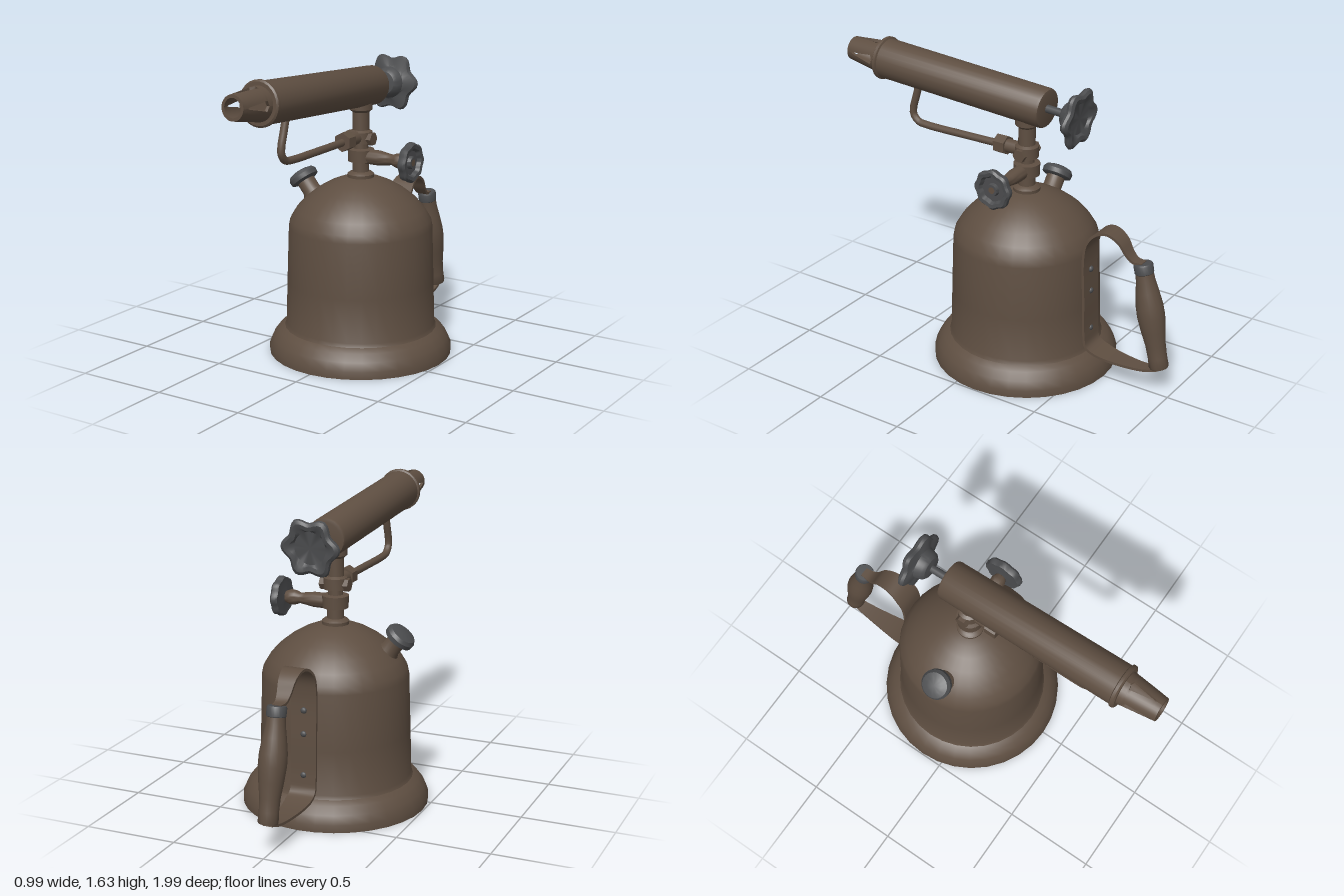
import * as THREE from 'three';
import { toCreasedNormals } from 'three/addons/utils/BufferGeometryUtils.js';

const brass = new THREE.MeshStandardMaterial({ color: 0x5e4e41 });
brass.name = 'aged brass';
const iron = new THREE.MeshStandardMaterial({ color: 0x4b4c4e });
iron.name = 'grey iron';

const TANK_Z = -0.12;

function add(parent, name, geometry, material, x = 0, y = 0, z = 0) {
  const mesh = new THREE.Mesh(geometry, material);
  mesh.name = name;
  mesh.position.set(x, y, z);
  parent.add(mesh);
  return mesh;
}

// Turned part from [radius, height] pairs, listed bottom to top
function turned(points, segments = 24) {
  const g = new THREE.LatheGeometry(points.map(p => new THREE.Vector2(...p)), segments);
  return toCreasedNormals(g, 0.6);
}

// Turned part whose outer rim swells into lobes
function handwheel(points, lobes, amount, rimStart) {
  const g = new THREE.LatheGeometry(points.map(p => new THREE.Vector2(...p)), lobes * 8);
  const pos = g.attributes.position;
  for (let i = 0; i < pos.count; i++) {
    const x = pos.getX(i), z = pos.getZ(i), r = Math.hypot(x, z);
    if (r < rimStart) continue;
    const k = 1 + amount * Math.cos(lobes * Math.atan2(z, x));
    pos.setXYZ(i, x * k, pos.getY(i), z * k);
  }
  return toCreasedNormals(g, 0.6);
}

// Quarter of the slotted nozzle: a box bent round the z axis
function nozzleProng(angle, start, length) {
  const g = new THREE.BoxGeometry(1, 1, 1, 8, 1, 20);
  const pos = g.attributes.position;
  for (let i = 0; i < pos.count; i++) {
    const t = pos.getZ(i) + 0.5;
    const slot = t < 0.18 || t > 0.82 ? 0 : 0.4 * (1 - t);
    const a = angle + pos.getX(i) * 2 * (Math.PI / 4 - slot);
    const r = 0.09 - 0.026 * t + (pos.getY(i) - 0.5) * 0.016;
    pos.setXYZ(i, Math.sin(a) * r, Math.cos(a) * r, start + t * length);
  }
  g.computeVertexNormals();
  return g;
}

// Flat strap swept along a curve in the x = 0 plane, narrow at both ends
function strap(curve, thickness) {
  const g = new THREE.BoxGeometry(1, 1, 1, 1, 1, 72);
  const pos = g.attributes.position;
  const across = new THREE.Vector3(1, 0, 0);
  for (let i = 0; i < pos.count; i++) {
    const t = THREE.MathUtils.clamp(pos.getZ(i) + 0.5, 0, 1);
    const edge = Math.min(1, Math.min(t, 1 - t) / 0.25);
    const p = curve.getPointAt(t);
    p.addScaledVector(curve.getTangentAt(t).cross(across), pos.getY(i) * thickness);
    pos.setXYZ(i, pos.getX(i) * (0.05 + 0.09 * edge), p.y, p.z);
  }
  g.computeVertexNormals();
  return g;
}

function buildTank(model) {
  add(model, 'tank', turned([
    [0, 0], [0.495, 0], [0.495, 0.04], [0.475, 0.085], [0.445, 0.125], [0.412, 0.145],
    [0.403, 0.165], [0.396, 0.4], [0.386, 0.70], [0.378, 0.74], [0.345, 0.795], [0.295, 0.85],
    [0.235, 0.897], [0.17, 0.935], [0.11, 0.96], [0.05, 0.972], [0, 0.973],
  ], 32), brass, 0, 0, TANK_Z);

  // Filler spout and cap lean out to one side
  const filler = new THREE.Group();
  filler.name = 'filler';
  filler.position.set(-0.25, 0.80, -0.09);
  filler.rotation.z = 0.67;
  add(filler, 'fillerNeck', turned([[0.068, 0], [0.062, 0.05], [0.05, 0.075], [0.05, 0.14]]), brass);
  add(filler, 'fillerCap', turned([
    [0, 0.135], [0.06, 0.135], [0.08, 0.145], [0.082, 0.17], [0.07, 0.188], [0.04, 0.197], [0, 0.2],
  ]), iron);
  model.add(filler);
}

function buildValve(model) {
  add(model, 'neck', turned([
    [0.07, 0.955], [0.072, 0.985], [0.06, 0.995], [0.045, 1.0], [0.045, 1.05], [0.068, 1.055],
    [0.07, 1.12], [0.04, 1.125], [0.04, 1.15], [0.062, 1.155], [0.062, 1.215], [0.045, 1.225],
    [0.045, 1.32], [0.062, 1.335], [0.062, 1.38], [0, 1.38],
  ]), brass, 0, 0, TANK_Z);

  // Cross fitting with hexagonal ends
  const cross = new THREE.CylinderGeometry(0.03, 0.03, 0.14, 16).rotateZ(Math.PI / 2);
  add(model, 'crossFitting', cross, brass, 0, 1.18, TANK_Z);
  for (const s of [-1, 1]) {
    const nut = toCreasedNormals(new THREE.CylinderGeometry(0.036, 0.036, 0.03, 6).rotateZ(Math.PI / 2), 0.5);
    add(model, 'crossNut', nut, brass, s * 0.065, 1.18, TANK_Z);
  }

  // Side valve stem and wheel run along +x
  const valve = new THREE.Group();
  valve.name = 'sideValve';
  valve.position.set(0, 1.083, TANK_Z);
  valve.rotation.z = -Math.PI / 2;
  add(valve, 'valveStem', turned([
    [0, 0.03], [0.04, 0.04], [0.04, 0.12], [0.032, 0.17], [0.028, 0.2], [0.038, 0.225],
    [0.04, 0.255], [0.03, 0.28], [0.018, 0.285], [0.018, 0.325], [0, 0.325],
  ]), brass);
  add(valve, 'valveWheel', handwheel([
    [0.018, 0.285], [0.075, 0.29], [0.098, 0.288], [0.104, 0.3], [0.104, 0.32], [0.094, 0.331],
    [0.075, 0.328], [0.065, 0.306], [0.035, 0.306], [0.03, 0.325], [0.018, 0.325],
  ], 8, 0.04, 0.05), iron);
  model.add(valve);
}

function buildFeedPipe(model) {
  const path = new THREE.CatmullRomCurve3([
    [1.187, -0.12], [1.185, 0.06], [1.182, 0.3], [1.182, 0.52], [1.19, 0.575],
    [1.225, 0.607], [1.265, 0.607], [1.34, 0.585], [1.43, 0.56],
  ].map(([y, z]) => new THREE.Vector3(0, y, z)));
  add(model, 'feedPipe', new THREE.TubeGeometry(path, 48, 0.02, 12), brass);
  const nut = toCreasedNormals(new THREE.CylinderGeometry(0.052, 0.052, 0.065, 6).rotateX(Math.PI / 2), 0.5);
  add(model, 'pipeNut', nut, brass, 0, 1.187, 0.03);
  add(model, 'pipeSocket', new THREE.CylinderGeometry(0.036, 0.036, 0.1, 16).rotateX(Math.PI / 2), brass, 0, 1.187, -0.04);
}

function buildBurner(model) {
  // Local z runs along the slightly raised barrel
  const burner = new THREE.Group();
  burner.name = 'burner';
  burner.position.set(0, 1.445, -0.245);
  burner.rotation.x = -0.063;
  add(burner, 'barrel', turned([
    [0, 0.005], [0.085, 0], [0.1, 0.004], [0.105, 0.015], [0.108, 1.015], [0.117, 1.02],
    [0.117, 1.035], [0.108, 1.042], [0, 1.042],
  ]).rotateX(Math.PI / 2), brass);
  for (let i = 0; i < 4; i++) {
    add(burner, 'nozzleProng', nozzleProng(Math.PI / 4 + i * Math.PI / 2, 1.035, 0.21), brass);
  }
  add(burner, 'burnerStem', new THREE.CylinderGeometry(0.021, 0.021, 0.15, 16).rotateX(Math.PI / 2), iron, 0, 0, -0.06);
  add(burner, 'burnerWheel', handwheel([
    [0, -0.188], [0.085, -0.188], [0.1, -0.203], [0.125, -0.207], [0.142, -0.197], [0.146, -0.183],
    [0.138, -0.168], [0.1, -0.16], [0.085, -0.155], [0.075, -0.12], [0.06, -0.105], [0.02, -0.1],
  ], 6, 0.11, 0.095).rotateX(Math.PI / 2), iron);
  model.add(burner);
}

function buildHandle(model) {
  const path = new THREE.CatmullRomCurve3([
    [0.16, -0.95], [0.138, -0.88], [0.132, -0.75], [0.148, -0.61], [0.18, -0.54], [0.25, -0.526],
    [0.45, -0.52], [0.7, -0.513], [0.79, -0.53], [0.85, -0.58], [0.865, -0.64], [0.83, -0.705],
    [0.77, -0.745], [0.738, -0.78], [0.735, -0.83],
  ].map(([y, z]) => new THREE.Vector3(0, y, z)));
  add(model, 'handleStrap', strap(path, 0.014), brass);
  for (const y of [0.27, 0.49, 0.615]) {
    const rivet = new THREE.SphereGeometry(0.017, 12, 8).scale(1, 1, 0.8);
    add(model, 'rivet', rivet, iron, 0, y, -0.527 + (y - 0.27) * 0.02);
  }

  // Turned grip, leaning back at the foot
  const grip = new THREE.Group();
  grip.name = 'grip';
  grip.position.set(0, 0.165, -0.943);
  grip.rotation.x = Math.atan2(0.118, 0.57);
  add(grip, 'gripBody', turned([
    [0, 0], [0.048, 0], [0.052, 0.01], [0.05, 0.06], [0.053, 0.13], [0.064, 0.21], [0.072, 0.29],
    [0.071, 0.35], [0.06, 0.43], [0.05, 0.49], [0.047, 0.535],
  ]), brass);
  add(grip, 'gripFerrule', turned([[0.047, 0.53], [0.05, 0.533], [0.051, 0.575], [0.046, 0.584], [0, 0.585]]), iron);
  model.add(grip);
}

export function createModel() {
  const model = new THREE.Group();
  model.name = 'blowtorch';
  buildTank(model);
  buildValve(model);
  buildFeedPipe(model);
  buildBurner(model);
  buildHandle(model);
  return model;
}
